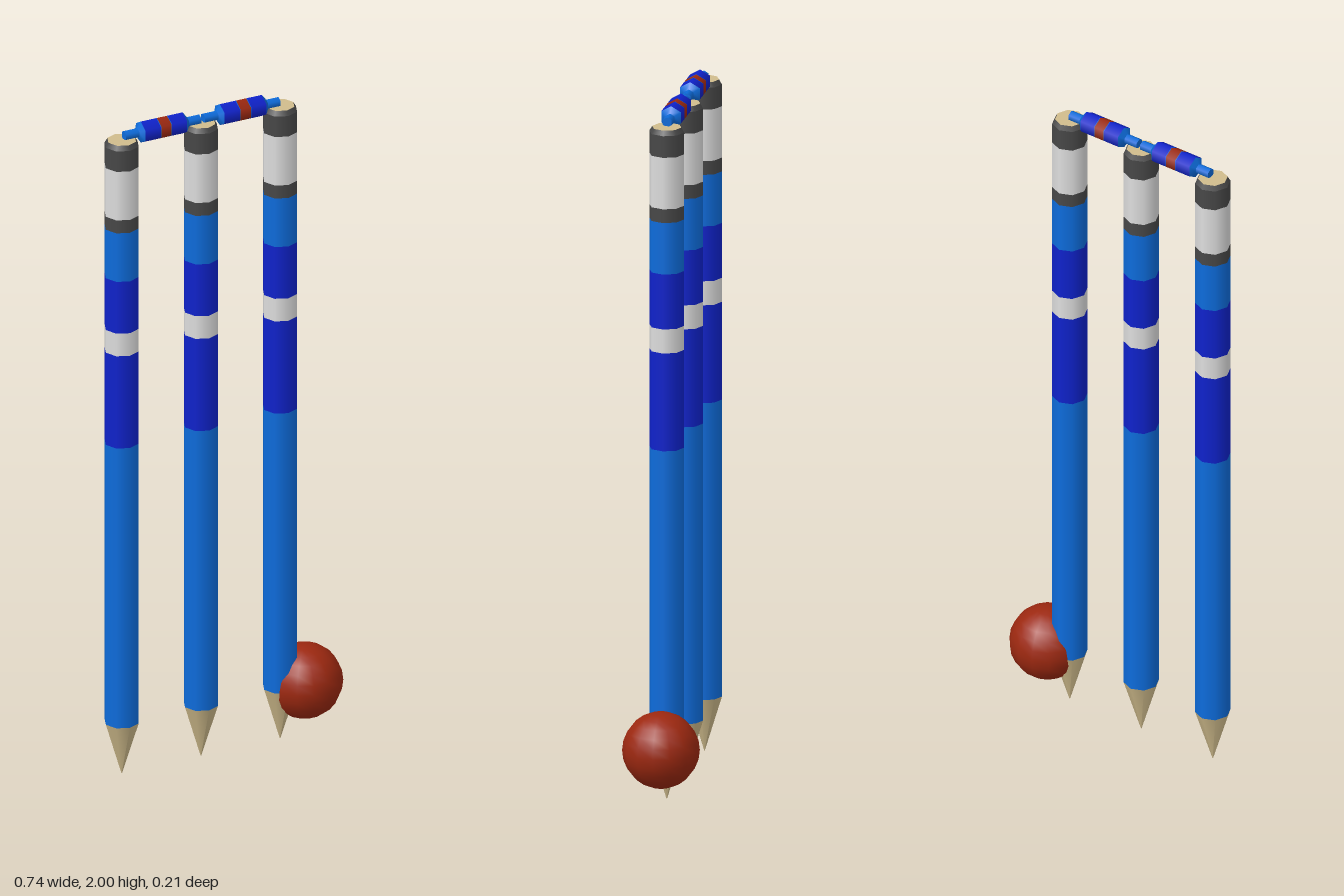
import * as THREE from 'three';

const mat = (name, color) => {
  const m = new THREE.MeshStandardMaterial({ color });
  m.name = name;
  return m;
};

export function createModel() {
  const blue = mat('bright blue', 0x0d6cdc);
  const navy = mat('deep blue', 0x0f22cc);
  const white = mat('off white', 0xdedede);
  const grey = mat('dark grey', 0x484848);
  const wood = mat('pale wood', 0xd0bc8c);
  const red = mat('leather red', 0x9c2810);

  const add = (parent, name, geometry, material) => {
    const mesh = new THREE.Mesh(geometry, material);
    mesh.name = name;
    parent.add(mesh);
    return mesh;
  };

  // Open tapered ring between two heights along y
  const ring = (parent, name, y0, y1, r0, r1, sides, material) => {
    const g = new THREE.CylinderGeometry(r1, r0, y1 - y0, sides, 1, true);
    g.translate(0, (y0 + y1) / 2, 0);
    return add(parent, name, g, material);
  };

  // Flat end disc, facing up or down
  const disc = (parent, name, y, r, sides, up, material) => {
    const g = new THREE.CircleGeometry(r, sides);
    g.rotateZ(Math.PI / 2);
    g.rotateX(up ? -Math.PI / 2 : Math.PI / 2);
    g.translate(0, y, 0);
    return add(parent, name, g, material);
  };

  const R = 0.05;
  const stumpBands = [
    ['lowerShaft', 0.16, 1.025, blue],
    ['lowerBand', 1.025, 1.31, navy],
    ['middleStripe', 1.31, 1.38, white],
    ['upperBand', 1.38, 1.54, navy],
    ['upperShaft', 1.54, 1.69, blue],
    ['lowerCollar', 1.69, 1.73, grey],
    ['whiteSleeve', 1.73, 1.88, white],
    ['topCollar', 1.88, 1.943, grey],
  ];

  function makeStump() {
    const stump = new THREE.Group();
    ring(stump, 'spike', 0, 0.16, 0.001, R, 8, wood);
    for (const [name, y0, y1, m] of stumpBands) ring(stump, name, y0, y1, R, R, 8, m);
    ring(stump, 'topBevel', 1.943, 1.957, R, 0.042, 8, grey);
    disc(stump, 'topFace', 1.957, 0.042, 8, true, wood);
    return stump;
  }

  // Bail sections along its length: start, end, start radius, end radius
  const thin = 0.0147, fat = 0.0325;
  const bailSections = [
    ['spigot', -0.119, -0.077, thin, thin, blue],
    ['shoulder', -0.077, -0.066, thin, fat, blue],
    ['barrel', -0.066, -0.017, fat, fat, navy],
    ['thinStripe', -0.017, -0.015, fat, fat, blue],
    ['centreBand', -0.015, 0.017, fat, fat, red],
    ['thinStripe', 0.017, 0.019, fat, fat, blue],
    ['barrel', 0.019, 0.066, fat, fat, navy],
    ['shoulder', 0.066, 0.08, fat, thin, blue],
    ['spigot', 0.08, 0.119, thin, thin, blue],
  ];

  function makeBail() {
    const bail = new THREE.Group();
    for (const [name, a, b, r0, r1, m] of bailSections) ring(bail, name, a, b, r0, r1, 6, m);
    disc(bail, 'endFace', 0.119, thin, 6, true, blue);
    disc(bail, 'endFace', -0.119, thin, 6, false, blue);
    // Lay it along x with a hexagon corner upward
    bail.rotation.set(Math.PI / 2, 0, -Math.PI / 2, 'ZYX');
    bail.rotation.set(0, Math.PI / 2, -Math.PI / 2, 'ZYX');
    return bail;
  }

  const model = new THREE.Group();
  model.name = 'wicketAndBall';

  // Three upright stumps
  ['rightStump', 'middleStump', 'leftStump'].forEach((name, i) => {
    const stump = makeStump();
    stump.name = name;
    stump.position.x = -0.319 + 0.25 * i;
    model.add(stump);
  });

  // Two bails resting across the stump tops
  ['rightBail', 'leftBail'].forEach((name, i) => {
    const bail = makeBail();
    bail.name = name;
    bail.position.set(-0.193 + 0.25 * i, 1.968, 0);
    model.add(bail);
  });

  // Ball against the foot of the left stump
  const ball = add(model, 'ball', new THREE.SphereGeometry(0.109, 14, 12), red);
  ball.position.set(0.258, 0.163, 0);

  return model;
}
